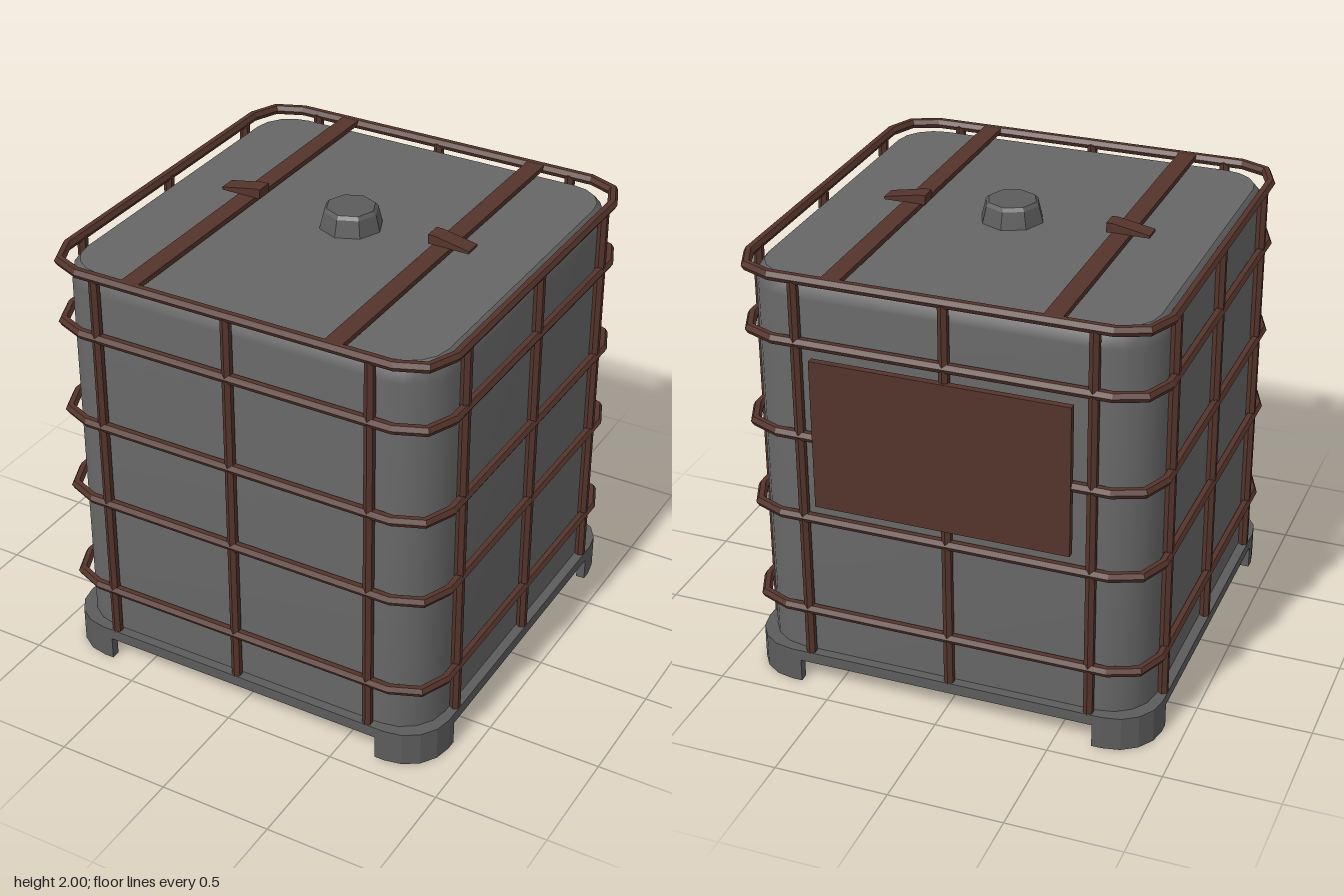
import * as THREE from 'three';
import { toCreasedNormals } from 'three/addons/utils/BufferGeometryUtils.js';

const tankGrey = new THREE.MeshStandardMaterial({ color: 0x666666 });
const palletGrey = new THREE.MeshStandardMaterial({ color: 0x5c5c5c });
const rustBrown = new THREE.MeshStandardMaterial({ color: 0x54342b });

// One rounded corner (first quadrant) of a square with half size h
function corner(h, r, n) {
  return Array.from({ length: n + 1 }, (_, i) => {
    const a = (i / n) * Math.PI / 2;
    return new THREE.Vector2(h - r + r * Math.cos(a), h - r + r * Math.sin(a));
  });
}

// Whole rounded square, counterclockwise
function outline(h, r, n) {
  const pts = [];
  for (let k = 0; k < 4; k++) {
    for (const p of corner(h, r, n)) pts.push(p.rotateAround(new THREE.Vector2(), k * Math.PI / 2));
  }
  return pts;
}

// Skin through rounded-square sections [half, radius, y]; closed joins last to first
function loft(sections, n, closed, crease) {
  const pos = [], idx = [], m = 4 * (n + 1), s = sections.length;
  for (const [h, r, y] of sections) for (const p of outline(h, r, n)) pos.push(p.x, y, -p.y);
  for (let j = 0; j < (closed ? s : s - 1); j++) {
    const lo = j * m, hi = ((j + 1) % s) * m;
    for (let i = 0; i < m; i++) {
      const k = (i + 1) % m;
      idx.push(lo + i, lo + k, hi + k, lo + i, hi + k, hi + i);
    }
  }
  if (!closed) {
    const c = s * m, top = (s - 1) * m;
    pos.push(0, sections[0][2], 0, 0, sections[s - 1][2] + 0.012, 0);
    for (let i = 0; i < m; i++) {
      const k = (i + 1) % m;
      idx.push(c, k, i, c + 1, top + i, top + k);
    }
  }
  const g = new THREE.BufferGeometry();
  g.setAttribute('position', new THREE.Float32BufferAttribute(pos, 3));
  g.setIndex(idx);
  return toCreasedNormals(g, crease);
}

// Flat outline raised upward from y = 0
function raise(points, depth) {
  const g = new THREE.ExtrudeGeometry(new THREE.Shape(points), { depth, bevelEnabled: false });
  return g.rotateX(-Math.PI / 2);
}

export function createModel() {
  const model = new THREE.Group();
  const add = (name, geometry, material, x = 0, y = 0, z = 0, parent = model) => {
    const mesh = new THREE.Mesh(geometry, material);
    mesh.name = name;
    mesh.position.set(x, y, z);
    parent.add(mesh);
    return mesh;
  };

  // Tank with softened upper rim and slightly domed top
  add('tank', loft([
    [0.865, 0.2, 0.15], [0.865, 0.2, 1.82], [0.855, 0.19, 1.87], [0.83, 0.17, 1.902],
  ], 4, false, 0.75), tankGrey);

  // Filler cap
  const cap = new THREE.Group();
  cap.name = 'fillerCap';
  cap.position.set(0.02, 0, -0.02);
  model.add(cap);
  const capPart = (name, r0, r1, y0, y1) => add(name,
    toCreasedNormals(new THREE.CylinderGeometry(r1, r0, y1 - y0, 8), 0.2), palletGrey, 0, (y0 + y1) / 2, 0, cap);
  capPart('capSide', 0.142, 0.118, 1.89, 1.985);
  capPart('capTop', 0.118, 0.105, 1.985, 2);

  // Pallet deck and four curved corner feet
  add('palletDeck', raise(outline(0.907, 0.2, 4), 0.05), palletGrey, 0, 0.105, 0);
  const footStart = 0.662, wall = 0.04;
  const footShape = [
    new THREE.Vector2(0.907, footStart), ...corner(0.907, 0.2, 4), new THREE.Vector2(footStart, 0.907),
    new THREE.Vector2(footStart, 0.907 - wall), ...corner(0.907 - wall, 0.2 - wall, 4).reverse(),
    new THREE.Vector2(0.907 - wall, footStart),
  ];
  const footGeometry = raise(footShape, 0.106);
  for (let k = 0; k < 4; k++) add('foot', footGeometry, palletGrey).rotation.y = k * Math.PI / 2;

  // Cage: horizontal hoops with a six-sided section
  const cage = new THREE.Group();
  cage.name = 'cage';
  model.add(cage);
  const hex = Array.from({ length: 6 }, (_, i) => {
    const a = i * Math.PI / 3;
    const off = 0.023 * Math.cos(a);
    return [0.889 + off, 0.17 + off, 0.023 * Math.sin(a)];
  });
  const hoop = loft(hex, 2, true, 0.3);
  for (const y of [0.375, 0.83, 1.215, 1.638, 1.917]) add('hoop', hoop, rustBrown, 0, y, 0, cage);

  // Cage: upright bars, three on each side
  const bar = toCreasedNormals(new THREE.CylinderGeometry(0.023, 0.023, 1.77, 6), 0.3);
  for (const t of [-0.64, -0.022, 0.616]) {
    for (const side of [-1, 1]) {
      add('uprightBar', bar, rustBrown, t, 1.035, side * 0.886, cage);
      add('uprightBar', bar, rustBrown, side * 0.886, 1.035, t, cage);
    }
  }

  // Top straps with wedge-shaped latches, higher toward the middle
  const wedge = new THREE.Shape([
    new THREE.Vector2(-0.093, 1.934), new THREE.Vector2(0.093, 1.934),
    new THREE.Vector2(0.093, 1.976), new THREE.Vector2(0.065, 1.976), new THREE.Vector2(-0.093, 1.946),
  ]);
  const latch = new THREE.ExtrudeGeometry(wedge, { depth: 0.076, bevelEnabled: false }).translate(0, 0, -0.038);
  for (const [strapX, latchX, turn] of [[-0.47, -0.5, 0], [0.455, 0.487, Math.PI]]) {
    add('topStrap', new THREE.BoxGeometry(0.08, 0.022, 1.78), rustBrown, strapX, 1.925, -0.005);
    add('latch', latch, rustBrown, latchX, 0, -0.03).rotation.y = turn;
  }

  // Plate on the back of the cage
  add('backPlate', new THREE.BoxGeometry(1.11, 0.67, 0.03), rustBrown, -0.005, 1.24, -0.902);

  return model;
}
